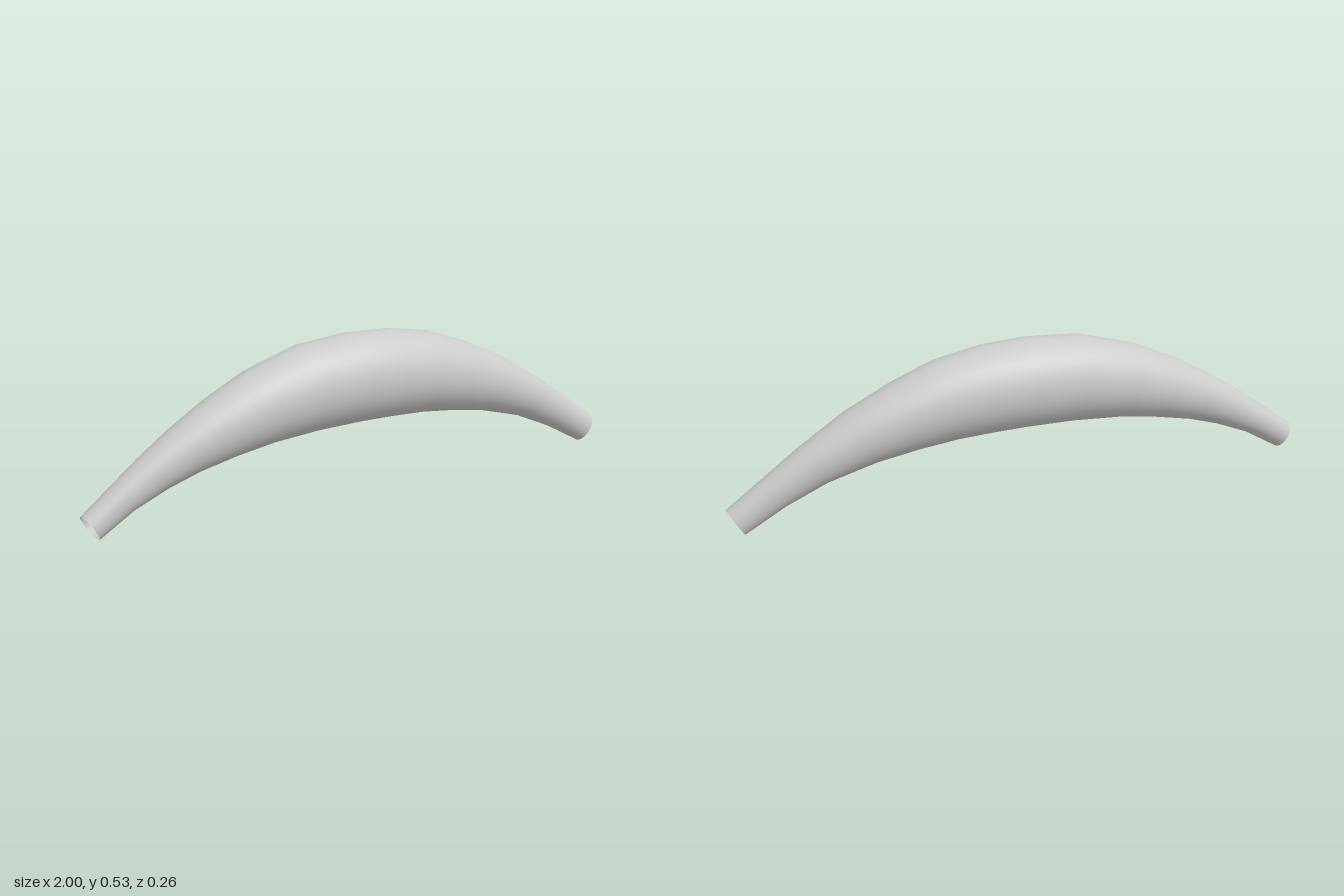
import * as THREE from 'three';

// Stations along the arch: top x, top y, bottom x, bottom y, half width
const STATIONS = [
  [-1, 0.088, -0.95, 0.008, 0.043],
  [-0.9, 0.163, -0.83, 0.08, 0.049],
  [-0.8, 0.237, -0.71, 0.13, 0.061],
  [-0.69, 0.31, -0.6, 0.165, 0.078],
  [-0.56, 0.385, -0.47, 0.193, 0.096],
  [-0.4, 0.46, -0.33, 0.215, 0.114],
  [-0.21, 0.515, -0.17, 0.227, 0.127],
  [-0.02, 0.529, -0.01, 0.23, 0.131],
  [0.13, 0.522, 0.11, 0.228, 0.13],
  [0.29, 0.493, 0.24, 0.222, 0.122],
  [0.44, 0.437, 0.37, 0.207, 0.109],
  [0.6, 0.36, 0.51, 0.183, 0.09],
  [0.76, 0.26, 0.67, 0.138, 0.066],
  [0.88, 0.175, 0.81, 0.076, 0.05],
  [1, 0.088, 0.945, 0.001, 0.043],
];
const SIDES = 40;

// Loft of elliptical rings, each tilted square to the arch
function loftEllipses(stations) {
  const positions = [], indices = [];
  stations.forEach(([tx, ty, bx, by, w], i) => {
    for (let j = 0; j < SIDES; j++) {
      const a = (j / SIDES) * Math.PI * 2, c = Math.cos(a) / 2;
      positions.push((tx + bx) / 2 + c * (tx - bx), (ty + by) / 2 + c * (ty - by), w * Math.sin(a));
      if (i === stations.length - 1) continue;
      const p = i * SIDES + j, q = i * SIDES + ((j + 1) % SIDES);
      indices.push(p, q, p + SIDES, q, q + SIDES, p + SIDES);
    }
  });
  const geometry = new THREE.BufferGeometry();
  geometry.setAttribute('position', new THREE.Float32BufferAttribute(positions, 3));
  geometry.setIndex(indices);
  geometry.computeVertexNormals();
  return geometry;
}

export function createModel() {
  const group = new THREE.Group();
  group.name = 'archedTube';
  // Thin hollow body, open at both ends
  const material = new THREE.MeshStandardMaterial({ color: 0xcccccc, side: THREE.DoubleSide });
  const body = new THREE.Mesh(loftEllipses(STATIONS), material);
  body.name = 'curvedBody';
  group.add(body);
  return group;
}
